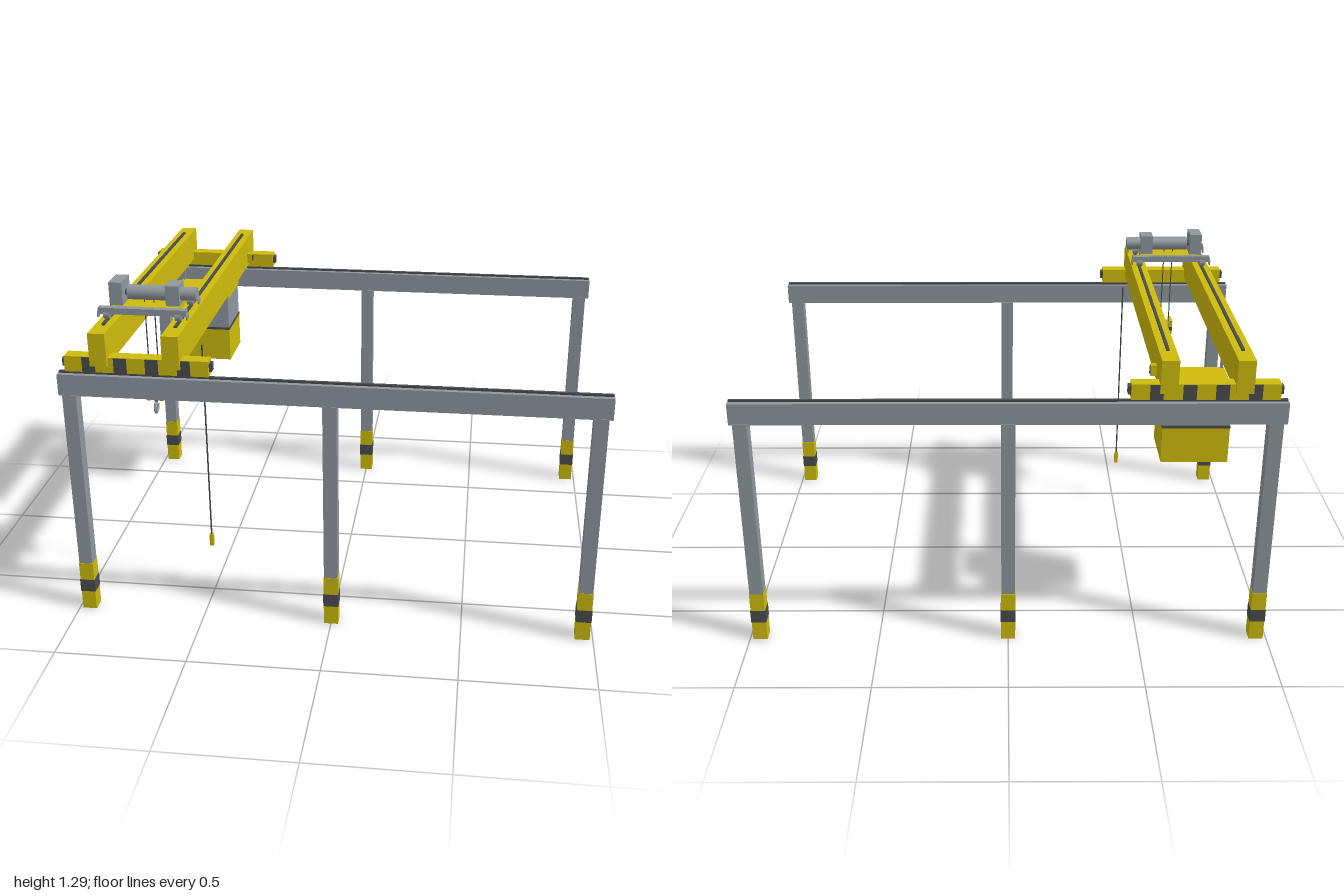
import * as THREE from 'three';

const mat = (name, color) => Object.assign(new THREE.MeshStandardMaterial({ color }), { name });

export function createModel() {
  const yellow = mat('safety yellow', 0xcdbb0c);
  const grey = mat('steel grey', 0x8e979d);
  const dark = mat('dark grey', 0x4a4b4d);
  const model = new THREE.Group();
  model.name = 'overheadCrane';

  const group = (name, parent = model) => {
    const g = new THREE.Group();
    g.name = name;
    parent.add(g);
    return g;
  };
  const add = (parent, name, geo, m, x = 0, y = 0, z = 0) => {
    const mesh = new THREE.Mesh(geo, m);
    mesh.name = name;
    mesh.position.set(x, y, z);
    parent.add(mesh);
    return mesh;
  };
  // box given by its extents on each axis
  const box = (parent, name, m, [x0, x1], [y0, y1], [z0, z1]) =>
    add(parent, name, new THREE.BoxGeometry(x1 - x0, y1 - y0, z1 - z0), m,
      (x0 + x1) / 2, (y0 + y1) / 2, (z0 + z1) / 2);
  // extents around a centre
  const about = (c, w) => [c - w / 2, c + w / 2];
  // cylinder lying along x
  const rodX = (parent, name, m, r, [x0, x1], y, z, sides = 24) =>
    add(parent, name, new THREE.CylinderGeometry(r, r, x1 - x0, sides).rotateZ(Math.PI / 2), m,
      (x0 + x1) / 2, y, z);
  // upright rope or rod
  const rodY = (parent, name, m, r, x, [y0, y1], z) =>
    add(parent, name, new THREE.CylinderGeometry(r, r, y1 - y0, 10), m, x, (y0 + y1) / 2, z);

  const cx = -0.7;                    // middle of the travelling bridge
  const girderX = [-0.834, -0.567];
  const hoistZ = 0.468;

  // Runways: columns with painted feet, beam and rail on each side
  for (const s of [1, -1]) {
    const z = s * 0.668;
    const runway = group(s > 0 ? 'frontRunway' : 'backRunway');
    for (const x of [-0.96, 0, 0.96]) {
      box(runway, 'column', grey, about(x, 0.052), [0.2, 0.915], about(z, 0.052));
      box(runway, 'columnFoot', yellow, about(x, 0.055), [0, 0.203], about(z, 0.055));
      box(runway, 'footBand', dark, about(x, 0.058), [0.078, 0.13], about(z, 0.058));
    }
    box(runway, 'runwayBeam', grey, [-1, 1], [0.912, 0.994], about(z, 0.048));
    box(runway, 'runwayRail', dark, [-0.997, 0.997], [0.994, 1.002], about(z, 0.011));

    // End truck with bumpers, wheels and stripes on the outer face
    const truck = group(s > 0 ? 'frontEndTruck' : 'backEndTruck');
    box(truck, 'truckBody', yellow, about(cx, 0.53), [1.01, 1.069], about(z, 0.053));
    box(truck, 'truckBumper', dark, about(cx, 0.552), [1.027, 1.057], about(z, 0.03));
    for (const dx of [-0.175, -0.058, 0.058, 0.175])
      box(truck, 'truckStripe', dark, about(cx + dx, 0.048), [1.011, 1.068],
        about(z + s * 0.027, 0.004));
    for (const dx of [-0.2, 0.2])
      add(truck, 'truckWheel', new THREE.CylinderGeometry(0.022, 0.022, 0.016, 20).rotateX(Math.PI / 2),
        dark, cx + dx, 1.024, z);
  }

  // Bridge girders with trolley rails
  const bridge = group('bridge');
  for (const x of girderX) {
    box(bridge, 'girder', yellow, about(x, 0.063), [1.038, 1.164], [-0.708, 0.708]);
    box(bridge, 'trolleyRail', dark, about(x, 0.011), [1.164, 1.171], [-0.615, 0.618]);
  }
  box(bridge, 'switchBox', yellow, [-0.536, -0.514], [1.053, 1.094], about(-0.567, 0.024));
  box(bridge, 'switchCover', dark, [-0.514, -0.511], [1.06, 1.087], about(-0.567, 0.012));

  // Trolley: frame, wheels, gearbox, drum and motor
  const trolley = group('trolley');
  for (const z of [0.376, 0.56]) {
    box(trolley, 'trolleyBar', grey, about(cx, 0.328), [1.191, 1.215], about(z, 0.027));
    for (const x of girderX)
      add(trolley, 'trolleyWheel', new THREE.CylinderGeometry(0.017, 0.017, 0.022, 20).rotateZ(Math.PI / 2),
        grey, x, 1.188, z);
    for (const x of [-0.866, -0.535])
      rodX(trolley, 'axleCap', grey, 0.015, about(x, 0.004), 1.189, z);
  }
  box(trolley, 'trolleyDeck', yellow, about(cx, 0.25), [1.192, 1.207], [0.385, 0.55]);
  box(trolley, 'gearbox', grey, [-0.835, -0.786], [1.205, 1.294], about(hoistZ, 0.1));
  rodX(trolley, 'drumShaft', dark, 0.012, [-0.79, -0.77], 1.245, hoistZ);
  rodX(trolley, 'drum', grey, 0.028, [-0.776, -0.624], 1.245, hoistZ);
  box(trolley, 'motorMount', grey, [-0.627, -0.576], [1.205, 1.284], about(hoistZ, 0.078));
  rodX(trolley, 'motor', grey, 0.025, [-0.58, -0.518], 1.245, hoistZ);

  // Hook block: two pointed cheeks with sheaves between them
  const hook = group('hookBlock');
  for (const dx of [-0.018, 0.018])
    rodY(hook, 'hoistRope', dark, 0.0022, cx + dx, [0.87, 1.225], hoistZ);
  const cheek = new THREE.Shape([[-0.031, 0.898], [-0.031, 0.846], [-0.01, 0.812],
    [0.01, 0.812], [0.031, 0.846], [0.031, 0.898]].map(p => new THREE.Vector2(...p)));
  const cheekGeo = new THREE.ExtrudeGeometry(cheek, { depth: 0.014, bevelEnabled: false })
    .translate(0, 0, -0.007).rotateY(Math.PI / 2);
  for (const s of [-1, 1]) {
    add(hook, 'hookCheek', cheekGeo, yellow, cx + s * 0.025, 0, hoistZ);
    box(hook, 'cheekBand', dark, about(cx + s * 0.025, 0.016), [0.852, 0.87], about(hoistZ, 0.064));
  }
  rodX(hook, 'sheave', grey, 0.026, about(cx, 0.034), 0.866, hoistZ);
  box(hook, 'hookYoke', grey, about(cx, 0.036), [0.815, 0.845], about(hoistZ, 0.022));
  rodY(hook, 'hookShank', dark, 0.006, cx, [0.8, 0.82], hoistZ);
  const ring = new THREE.TorusGeometry(0.021, 0.0055, 8, 24, Math.PI * 1.65)
    .rotateZ(Math.PI / 2).rotateY(Math.PI / 2);
  add(hook, 'hook', ring, grey, cx, 0.783, hoistZ);

  // Hanging control pendant
  const pendant = group('pendant');
  rodY(pendant, 'pendantCable', dark, 0.003, -0.51, [0.23, 1.045], hoistZ);
  box(pendant, 'pendantHandle', yellow, about(-0.51, 0.016), [0.185, 0.236], about(hoistZ, 0.014));

  // Operator cabin hung below the bridge
  const cabin = group('cabin');
  const [cabX, cabZ] = [-0.702, -0.416];
  box(cabin, 'cabinBase', yellow, about(cabX, 0.252), [0.68, 0.822], about(cabZ, 0.218));
  box(cabin, 'cabinSill', dark, about(cabX, 0.254), [0.82, 0.83], about(cabZ, 0.22));
  box(cabin, 'cabinWindows', grey, about(cabX, 0.248), [0.83, 0.964], about(cabZ, 0.214));
  box(cabin, 'cabinRoof', yellow, about(cabX, 0.256), [0.963, 0.977], about(cabZ, 0.224));
  for (const sx of [-1, 1]) for (const sz of [-1, 1])
    box(cabin, 'cabinHanger', grey, about(cabX + sx * 0.118, 0.01), [0.975, 1.04],
      about(cabZ + sz * 0.105, 0.01));

  return model;
}
